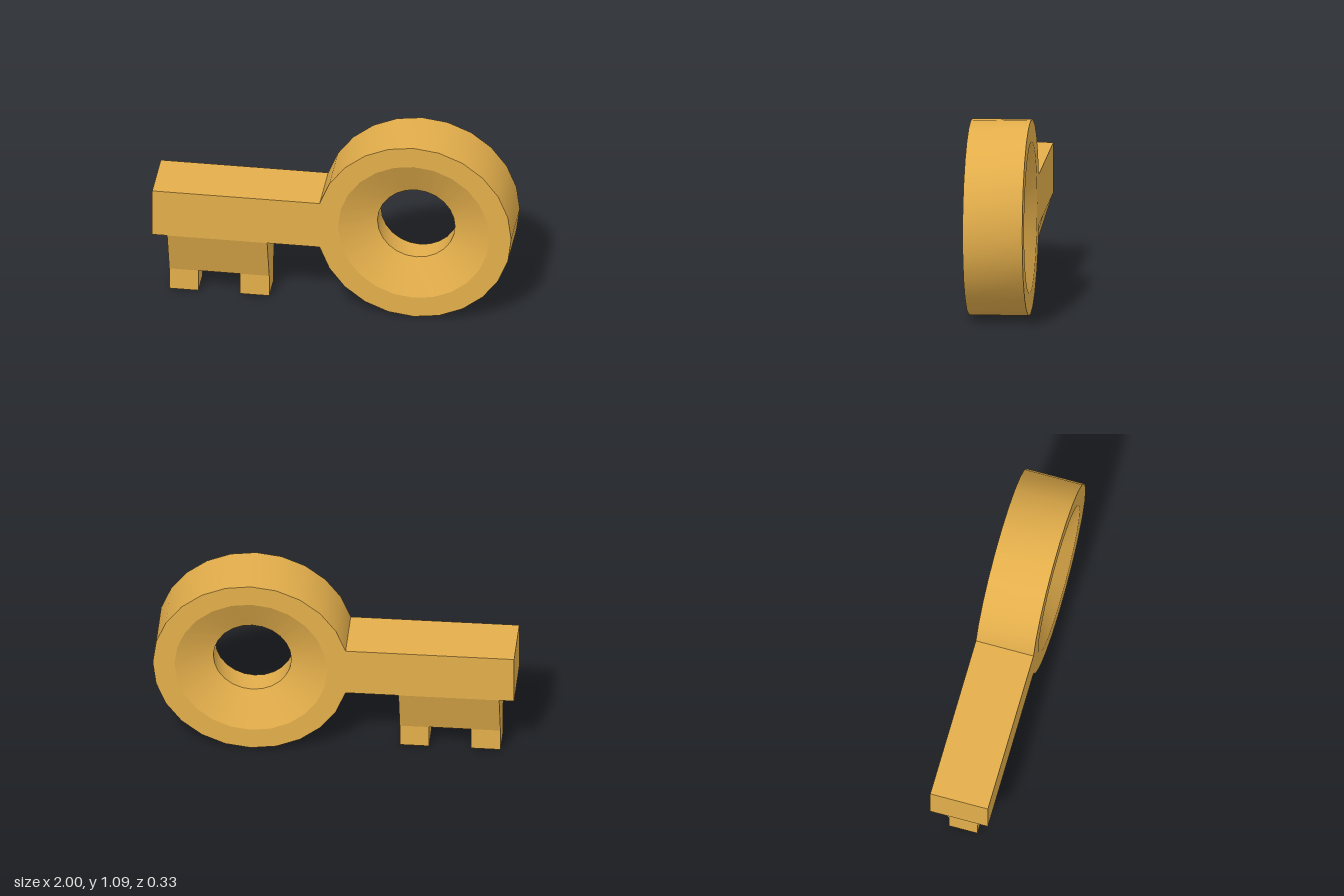
import * as THREE from 'three';
import { toCreasedNormals } from 'three/addons/utils/BufferGeometryUtils.js';

const HALF = 0.165;              // half thickness of the key
const CX = 0.457, CY = 0.543;    // centre of the ring
const R = 0.543;                 // outer radius of the ring
const SIDES = 24;

export function createModel() {
  const key = new THREE.Group();
  key.name = 'key';
  const gold = new THREE.MeshStandardMaterial({ color: 0xe3ae4b });

  const add = (name, geometry) => {
    const mesh = new THREE.Mesh(geometry, gold);
    mesh.name = name;
    key.add(mesh);
    return mesh;
  };
  const extrude = (points, depth) =>
    new THREE.ExtrudeGeometry(
      new THREE.Shape(points.map(([x, y]) => new THREE.Vector2(x, y))),
      { depth, bevelEnabled: false }
    ).translate(0, 0, -depth / 2);

  // Ring handle: flat rim, dished on both faces down to a round hole
  const profile = [
    [R, -HALF], [R, HALF], [0.422, HALF], [0.216, 0.068],
    [0.216, -0.068], [0.422, -HALF], [R, -HALF],
  ].map(([r, y]) => new THREE.Vector2(r, y));
  const ring = new THREE.LatheGeometry(profile, SIDES).rotateX(Math.PI / 2);
  add('ringHandle', toCreasedNormals(ring, 0.35)).position.set(CX, CY, 0);

  // Shaft: its end follows the two ring facets it meets
  const step = (Math.PI * 2) / SIDES;
  const joinX = CX - R * Math.cos(step);
  const low = CY - R * Math.sin(step), high = CY + R * Math.sin(step);
  add('shaft', extrude(
    [[-1, low], [joinX, low], [CX - R, CY], [joinX, high], [-1, high]],
    HALF * 2
  ));

  // Bit: block under the shaft, narrowing downwards in thickness
  const bitLeft = -0.36, bitRight = -0.917;
  const bitBottom = 0.14, thin = 0.082;
  const bit = extrude(
    [[-thin, bitBottom], [thin, bitBottom], [HALF, low], [-HALF, low]],
    bitLeft - bitRight
  ).rotateY(Math.PI / 2);
  add('bit', bit).position.x = (bitLeft + bitRight) / 2;

  // Two teeth, one at each end of the bit
  const toothWidth = 0.162, toothBottom = 0.012;
  const teeth = { toothInner: bitLeft - toothWidth / 2, toothOuter: bitRight + toothWidth / 2 };
  for (const [name, x] of Object.entries(teeth)) {
    add(name, new THREE.BoxGeometry(toothWidth, bitBottom - toothBottom, thin * 2))
      .position.set(x, (bitBottom + toothBottom) / 2, 0);
  }

  return key;
}
